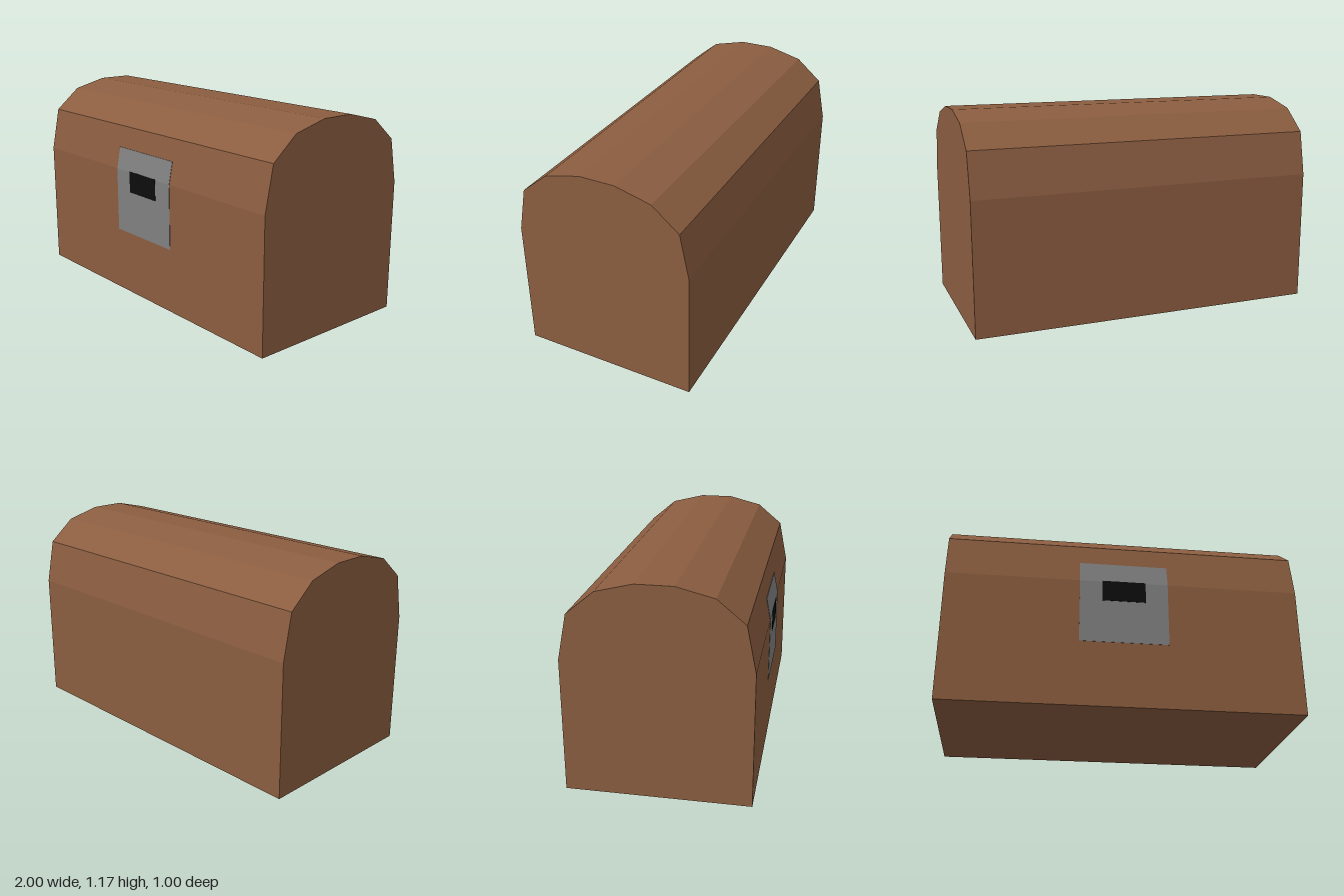
import * as THREE from 'three';

const wood = new THREE.MeshStandardMaterial({ name: 'brown wood', color: 0x8b5d40 });
const metal = new THREE.MeshStandardMaterial({ name: 'grey metal', color: 0x808080 });
const black = new THREE.MeshStandardMaterial({ name: 'keyhole black', color: 0x0d0d0d });

// Extrudes a [z, y] profile along x, centred on x = 0
function prism(name, profile, width, material) {
  const shape = new THREE.Shape(profile.map(([z, y]) => new THREE.Vector2(-z, y)));
  const geometry = new THREE.ExtrudeGeometry(shape, { depth: width, bevelEnabled: false });
  geometry.translate(0, 0, -width / 2).rotateY(Math.PI / 2);
  const mesh = new THREE.Mesh(geometry, material);
  mesh.name = name;
  return mesh;
}

export function createModel() {
  const chest = new THREE.Group();
  chest.name = 'chest';

  // Body and faceted lid share one mirrored outline
  const half = [[0.5, 0], [0.5, 0.75], [0.45, 1], [0.3, 1.125], [0.1, 1.175]];
  const outline = [...half, ...half.map(([z, y]) => [-z, y]).reverse()];
  chest.add(prism('chestBody', outline, 2, wood));

  // Lock plate bends with the front, keyhole sits on its lower face
  chest.add(prism('lockPlate', [
    [0.502, 0.375], [0.502, 0.75], [0.477, 0.877],
    [0.471, 0.877], [0.496, 0.75], [0.496, 0.375],
  ], 0.5, metal));
  chest.add(prism('keyhole', [
    [0.504, 0.63], [0.504, 0.754], [0.498, 0.754], [0.498, 0.63],
  ], 0.245, black));

  return chest;
}
